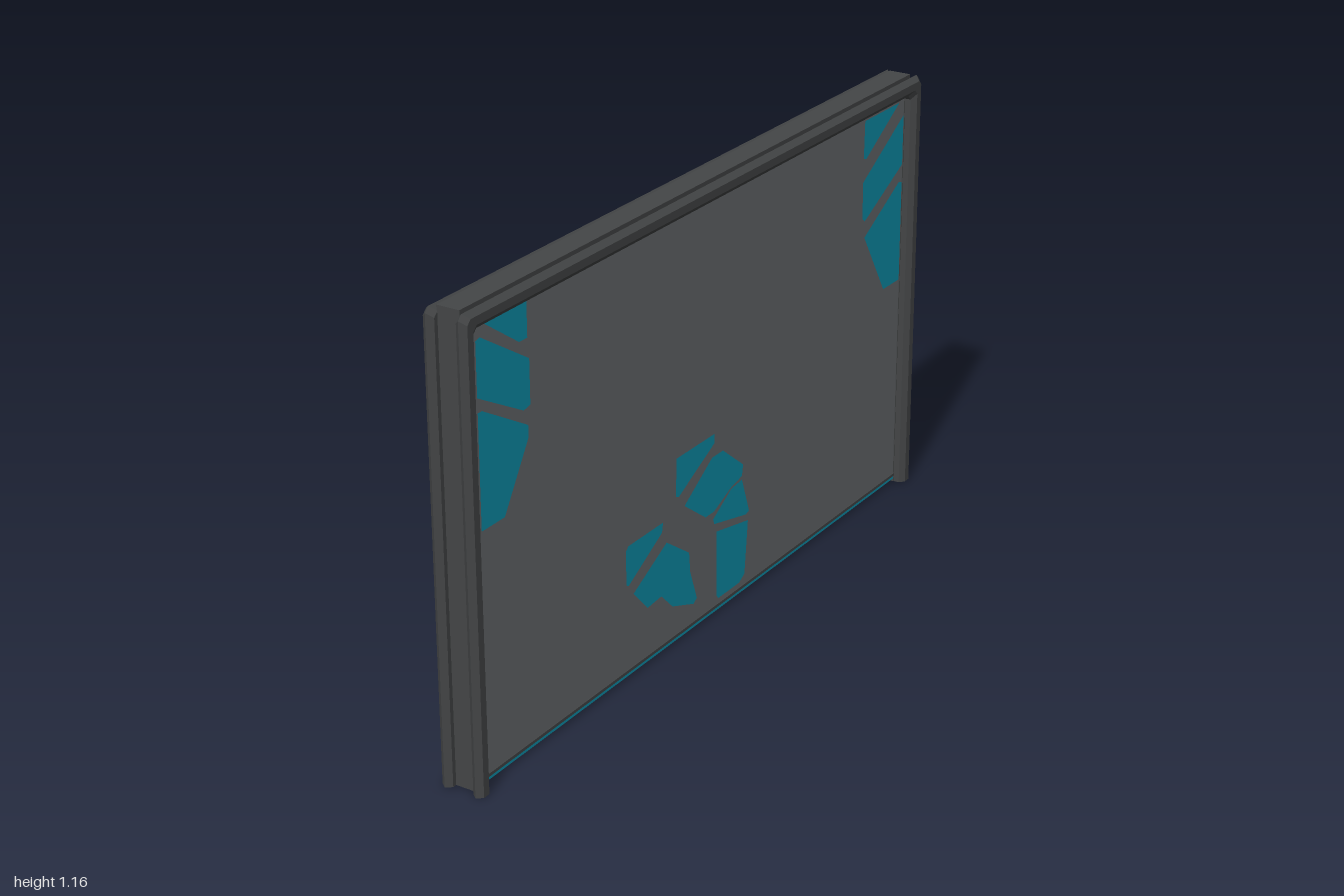
import * as THREE from 'three';

const TOP = 1.163;

// Rail cross-section: [outward x, inset from the outer edge]
const RAIL = [
  [0.028, 0.014], [0.043, 0.002], [0.058, 0.014],
  [0.058, 0.034], [0.046, 0.048], [0.028, 0.048],
];

// Inverted U path at a given inset, with small corner chamfers: [z, y]
function railPath(d) {
  const z = 1 - d, y = TOP - d, c = 0.012;
  return [[z, 0], [z, y - c], [z - c, y], [-z + c, y], [-z, y - c], [-z, 0]];
}

// Mitred sweep of the rail section along the U path; side is +1 or -1
function railGeometry(side) {
  const pos = [];
  const rings = RAIL.map(([x, d]) => railPath(d).map(([z, y]) => [x * side, y, z]));
  const tri = (a, b, c) => pos.push(...a, ...(side > 0 ? [...b, ...c] : [...c, ...b]));
  const n = RAIL.length, steps = rings[0].length;
  for (let i = 0; i < n; i++) {
    const p = rings[i], q = rings[(i + 1) % n];
    for (let k = 0; k < steps - 1; k++) {
      tri(p[k], q[k], q[k + 1]);
      tri(p[k], q[k + 1], p[k + 1]);
    }
  }
  // Feet of the two posts
  for (let i = 1; i < n - 1; i++) {
    tri(rings[0][0], rings[i + 1][0], rings[i][0]);
    tri(rings[0][steps - 1], rings[i][steps - 1], rings[i + 1][steps - 1]);
  }
  const g = new THREE.BufferGeometry();
  g.setAttribute('position', new THREE.Float32BufferAttribute(pos, 3));
  g.computeVertexNormals();
  return g;
}

// Painted patches on the panel: [z, y] outlines
const CORNER_PATCHES = [
  [[0.90, 1.11], [0.74, 1.11], [0.74, 1.02], [0.77, 1.02]],
  [[0.925, 1.075], [0.91, 1.08], [0.735, 0.97], [0.735, 0.86], [0.76, 0.855], [0.925, 0.945]],
  [[0.925, 0.91], [0.91, 0.91], [0.745, 0.815], [0.745, 0.785], [0.84, 0.63], [0.925, 0.63]],
  [[-0.74, 1.10], [-0.92, 1.10], [-0.75, 0.995], [-0.737, 1.0]],
  [[-0.737, 0.935], [-0.945, 1.06], [-0.945, 0.925], [-0.75, 0.825], [-0.737, 0.835]],
  [[-0.75, 0.78], [-0.93, 0.88], [-0.945, 0.875], [-0.945, 0.60], [-0.86, 0.60]],
];
const CENTRE_PATCHES = [
  [[0.15, 0.50], [-0.02, 0.50], [-0.02, 0.475], [0.14, 0.395], [0.153, 0.40]],
  [[0.115, 0.36], [-0.01, 0.44], [-0.06, 0.44], [-0.155, 0.365], [-0.15, 0.335], [-0.10, 0.325],
    [-0.02, 0.29], [0.02, 0.29]],
  [[-0.015, 0.27], [-0.10, 0.32], [-0.15, 0.325], [-0.185, 0.225], [-0.17, 0.22], [-0.02, 0.255]],
  [[-0.03, 0.23], [-0.18, 0.20], [-0.165, 0.055], [-0.14, 0.04], [-0.04, 0.04], [-0.032, 0.05]],
  [[0.37, 0.345], [0.36, 0.355], [0.21, 0.355], [0.215, 0.33], [0.36, 0.25], [0.37, 0.255]],
  [[0.34, 0.22], [0.195, 0.295], [0.095, 0.225], [0.09, 0.17], [0.06, 0.085], [0.075, 0.075],
    [0.17, 0.11], [0.22, 0.16], [0.28, 0.155]],
];

export function createModel() {
  const model = new THREE.Group();
  model.name = 'screenPanel';
  const material = (name, color) => {
    const m = new THREE.MeshStandardMaterial({ color });
    m.name = name;
    return m;
  };
  const frameGrey = material('frameGrey', 0x444647);
  const panelGrey = material('panelGrey', 0x676b6e);
  const accentBlue = material('accentBlue', 0x0c92ae);
  const darkGrey = material('darkGrey', 0x242626);

  const add = (name, geometry, mat, parent = model) => {
    const mesh = new THREE.Mesh(geometry, mat);
    mesh.name = name;
    parent.add(mesh);
    return mesh;
  };
  const box = (name, w, h, d, x, y, z, mat) =>
    add(name, new THREE.BoxGeometry(w, h, d), mat).position.set(x, y, z);

  // Core frame between the two rails
  box('topBeam', 0.06, 0.05, 1.95, 0, TOP - 0.025, 0, frameGrey);
  for (const s of [1, -1]) {
    box(s > 0 ? 'frontPost' : 'backPost', 0.06, TOP - 0.05, 0.025, 0, (TOP - 0.05) / 2, s * 0.9625, frameGrey);
  }

  // Infill panel and sill
  box('panel', 0.056, 1.098, 1.91, 0, 0.571, 0, panelGrey);
  box('sill', 0.062, 0.008, 1.91, 0, 0.021, 0, frameGrey);
  box('sillBase', 0.046, 0.008, 1.91, 0, 0.012, 0, darkGrey);

  for (const side of [1, -1]) {
    // Ridged rail around three sides
    add(side > 0 ? 'leftRail' : 'rightRail', railGeometry(side), frameGrey);

    // Light strip tucked under the sill
    box('lightStrip', 0.006, 0.009, 1.91, side * 0.026, 0.0125, 0, accentBlue);

    // Painted patches
    const patches = new THREE.Group();
    patches.name = side > 0 ? 'leftPatches' : 'rightPatches';
    for (const outline of [...CORNER_PATCHES, ...CENTRE_PATCHES]) {
      const shape = new THREE.Shape(outline.map(([z, y]) => new THREE.Vector2(-side * z, y)));
      add('patch', new THREE.ShapeGeometry(shape), accentBlue, patches);
    }
    patches.rotation.y = side * Math.PI / 2;
    patches.position.x = side * 0.0305;
    model.add(patches);
  }

  // Small screw on the back end
  const screw = add('screw', new THREE.CylinderGeometry(0.008, 0.008, 0.004, 12), darkGrey);
  screw.rotation.x = Math.PI / 2;
  screw.position.set(0, 1.1, -0.976);

  return model;
}
